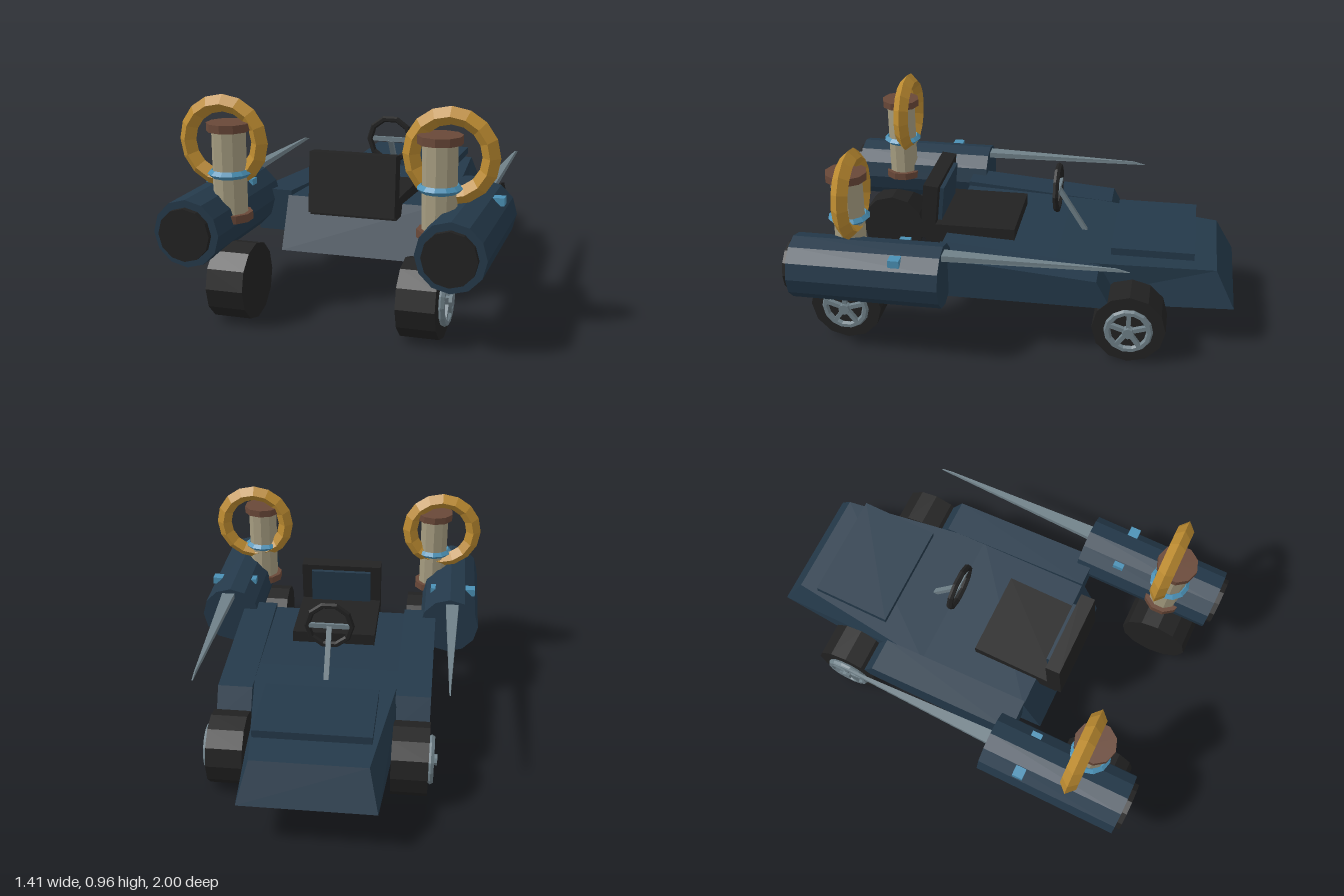
import * as THREE from 'three';

const mat = (name, color) => {
  const m = new THREE.MeshStandardMaterial({ color });
  m.name = name;
  return m;
};

// Faceted normals for the low-poly look
const facet = (geo) => {
  const g = geo.index ? geo.toNonIndexed() : geo;
  g.computeVertexNormals();
  return g;
};

// Box reshaped by a rule: map(sx, sy, t) -> [x, y, z], with t = 0, 1, 2 along the length
const hull = (steps, map) => {
  const g = new THREE.BoxGeometry(2, 2, 2, 1, 1, steps);
  const p = g.attributes.position;
  for (let i = 0; i < p.count; i++) {
    const t = Math.round((p.getZ(i) + 1) * steps / 2);
    p.setXYZ(i, ...map(Math.sign(p.getX(i)), Math.sign(p.getY(i)), t));
  }
  return g;
};

export function createModel() {
  const navy = mat('navy paint', 0x24394a);
  const black = mat('black rubber', 0x222222);
  const grey = mat('grey metal', 0x6f8088);
  const gold = mat('gold', 0xbb8a30);
  const brown = mat('brown', 0x694838);
  const beige = mat('beige', 0xa59c80);
  const blue = mat('light blue', 0x4a90b5);

  const model = new THREE.Group();
  model.name = 'car';
  const add = (parent, name, geo, material, x = 0, y = 0, z = 0) => {
    const mesh = new THREE.Mesh(facet(geo), material);
    mesh.name = name;
    mesh.position.set(x, y, z);
    parent.add(mesh);
    return mesh;
  };
  const box = (w, h, d) => new THREE.BoxGeometry(w, h, d);
  const cyl = (r, h, n) => new THREE.CylinderGeometry(r, r, h, n);

  // Wedge body: half width, height and z at nose, middle and tail
  const bottom = [[0.30, 0.2, -1], [0.36, 0.2, -0.18], [0.345, 0.2, 0.46]];
  const top = [[0.255, 0.37, -0.91], [0.348, 0.41, -0.18], [0.345, 0.435, 0.36]];
  add(model, 'body', hull(2, (sx, sy, t) => {
    const [w, y, z] = (sy > 0 ? top : bottom)[t];
    return [sx * w, y, z];
  }), navy);
  add(model, 'hoodPanel', box(0.514, 0.035, 0.38), navy, 0, 0.432, -0.615);

  // Seat, with the backrest tilted
  add(model, 'seatCushion', box(0.4, 0.09, 0.43), black, 0, 0.43, 0.25);
  const back = new THREE.Group();
  back.name = 'backrest';
  back.position.set(0, 0.535, 0.443);
  back.rotation.x = -0.1;
  model.add(back);
  add(back, 'backrestFrame', box(0.4, 0.275, 0.07), black);
  add(back, 'backrestPad', box(0.3, 0.2, 0.02), navy, 0, 0.012, -0.044);

  // Steering wheel, crossbar and column
  add(model, 'steeringWheel', new THREE.TorusGeometry(0.105, 0.015, 6, 10), black, 0, 0.615, -0.145);
  add(model, 'steeringCrossbar', box(0.2, 0.022, 0.014), grey, 0, 0.615, -0.15);
  const column = add(model, 'steeringColumn', box(0.024, 0.25, 0.02), grey, 0, 0.505, -0.215);
  column.rotation.x = Math.atan2(0.125, 0.2);

  for (const s of [1, -1]) {
    const side = new THREE.Group();
    side.name = s > 0 ? 'leftSide' : 'rightSide';
    model.add(side);

    // Side pod sloping down towards the nose
    add(side, 'sidePod', hull(1, (sx, sy, t) => [
      s * 0.41 + sx * 0.08,
      sy < 0 ? 0.265 : t ? 0.458 : 0.398,
      t ? 0.36 : sy < 0 ? -0.45 : -0.38,
    ]), navy);

    // Wheels with five-spoke rims
    for (const [name, z] of [['noseWheel', -0.532], ['tailWheel', 0.783]]) {
      const wheel = new THREE.Group();
      wheel.name = name;
      wheel.position.set(s * 0.412, 0.167, z);
      wheel.rotation.y = s * Math.PI / 2;
      side.add(wheel);
      add(wheel, 'tyre', cyl(0.167, 0.165, 12).rotateX(Math.PI / 2), black);
      add(wheel, 'rim', new THREE.TorusGeometry(0.096, 0.016, 6, 14), grey, 0, 0, 0.092);
      add(wheel, 'hub', cyl(0.026, 0.04, 8).rotateX(Math.PI / 2), grey, 0, 0, 0.1);
      for (let i = 0; i < 5; i++) {
        const a = i * Math.PI * 2 / 5;
        add(wheel, 'spoke', box(0.02, 0.09, 0.022).translate(0, 0.052, 0), grey, 0, 0, 0.095).rotation.z = a;
      }
    }

    // Engine tube with a dark end cap
    add(side, 'engine', cyl(0.146, 0.685, 12).rotateX(Math.PI / 2), navy, s * 0.56, 0.412, 0.633);
    add(side, 'engineCap', cyl(0.114, 0.04, 12).rotateX(Math.PI / 2), black, s * 0.56, 0.412, 0.98);
    add(side, 'outerLamp', box(0.05, 0.035, 0.05), blue, s * 0.66, 0.52, 0.485);
    add(side, 'innerLamp', box(0.025, 0.035, 0.05), blue, s * 0.47, 0.52, 0.485);

    // Long spike reaching forward from the engine
    add(side, 'spike', hull(1, (sx, sy, t) => [
      s * 0.571 + sx * (t ? 0.033 : 0.003),
      sy < 0 ? 0.507 : t ? 0.535 : 0.522,
      t ? 0.33 : sy < 0 ? -0.53 : -0.47,
    ]), grey);

    // Upright column with caps and a collar
    add(side, 'pillar', cyl(0.073, 0.38, 10), beige, s * 0.46, 0.635, 0.742);
    add(side, 'pillarTop', cyl(0.094, 0.035, 10), brown, s * 0.46, 0.828, 0.742);
    add(side, 'pillarBase', cyl(0.094, 0.035, 10), brown, s * 0.46, 0.438, 0.742);
    add(side, 'pillarCollar', new THREE.TorusGeometry(0.078, 0.017, 4, 12).rotateX(Math.PI / 2),
      blue, s * 0.46, 0.627, 0.742);

    // Large hoop with a diamond section
    add(side, 'hoop', new THREE.TorusGeometry(0.166, 0.038, 4, 16), gold, s * 0.498, 0.755, 0.712);
  }
  return model;
}
